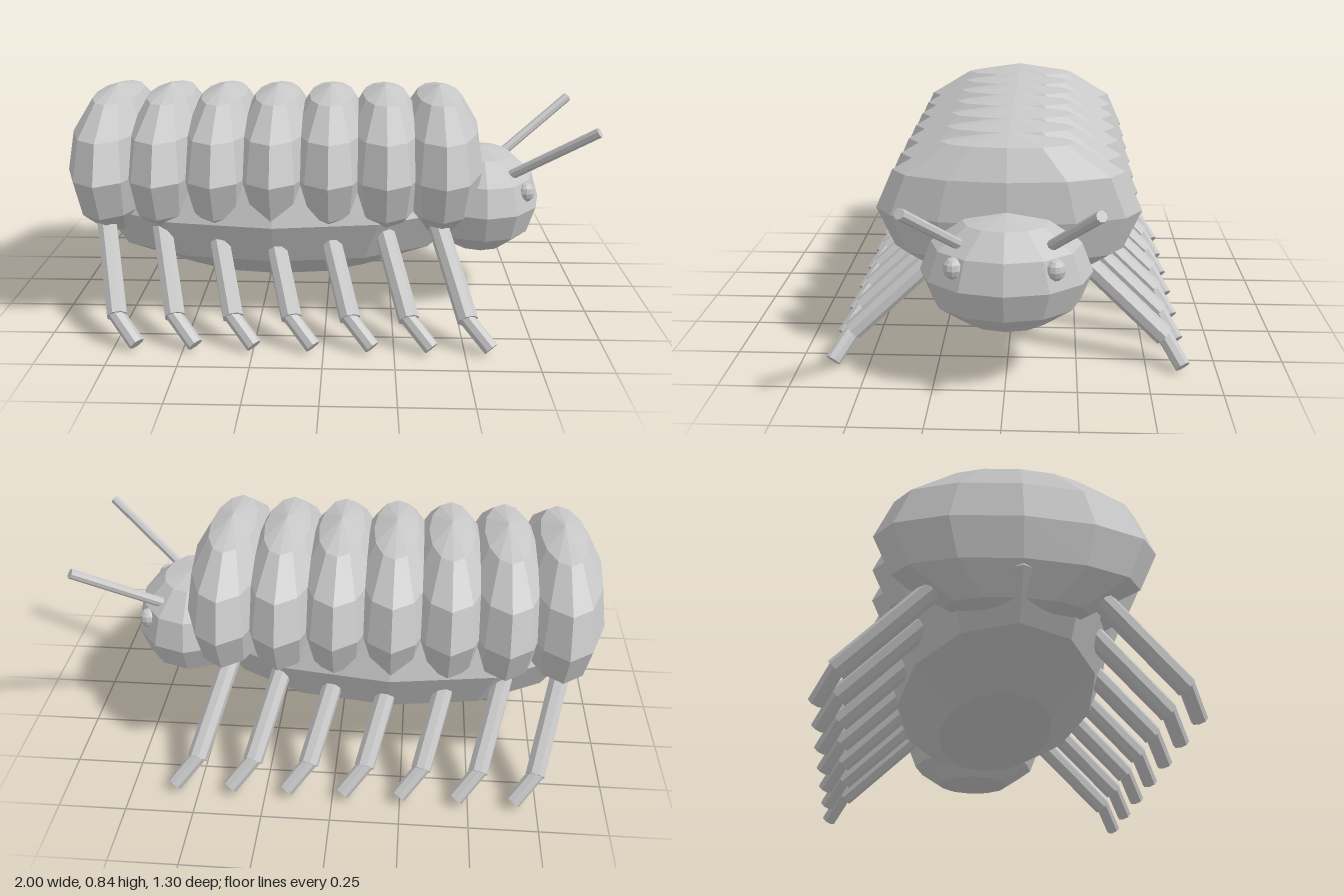
import * as THREE from 'three';

const shell = new THREE.MeshStandardMaterial({ color: 0xc6c6c6, flatShading: true });
shell.name = 'shell grey';

// Faceted ellipsoid with its poles along y
function ellipsoid(name, center, radii) {
  const geometry = new THREE.SphereGeometry(1, 12, 6);
  geometry.scale(...radii);
  const mesh = new THREE.Mesh(geometry, shell);
  mesh.position.set(...center);
  mesh.name = name;
  return mesh;
}

// Straight eight-sided rod between two points
function rod(name, from, to, radius) {
  const a = new THREE.Vector3(...from);
  const b = new THREE.Vector3(...to);
  const dir = b.clone().sub(a);
  const mesh = new THREE.Mesh(new THREE.CylinderGeometry(radius, radius, dir.length(), 8), shell);
  mesh.position.copy(a).add(b).multiplyScalar(0.5);
  mesh.quaternion.setFromUnitVectors(new THREE.Vector3(0, 1, 0), dir.normalize());
  mesh.name = name;
  return mesh;
}

export function createModel() {
  const bug = new THREE.Group();
  bug.name = 'bug';

  // Belly and head
  bug.add(ellipsoid('belly', [-0.195, 0.39, 0], [0.78, 0.3, 0.42]));
  bug.add(ellipsoid('head', [0.6, 0.392, 0], [0.235, 0.208, 0.3]));

  // Seven overlapping back plates, each with a pair of legs
  for (let i = 0; i < 7; i++) {
    const x = -0.826 + i * 0.2092;
    bug.add(ellipsoid('backPlate', [x, 0.556, 0], [0.174, 0.286, 0.475]));
    for (const s of [1, -1]) {
      const leg = new THREE.Group();
      leg.name = s > 0 ? 'frontSideLeg' : 'rearSideLeg';
      const knee = [x + 0.083, 0.105, s * 0.568];
      leg.add(rod('upperLeg', [x - 0.01, 0.36, s * 0.275], knee, 0.038));
      leg.add(rod('foot', [x + 0.075, 0.115, s * 0.562], [x + 0.162, 0.025, s * 0.628], 0.029));
      bug.add(leg);
    }
  }

  // Eyes and antennae
  for (const s of [1, -1]) {
    bug.add(ellipsoid('eye', [0.757, 0.46, s * 0.168], [0.036, 0.038, 0.036]));
    bug.add(rod('antenna', [0.69, 0.515, s * 0.148], [0.988, 0.73, s * 0.302], 0.019));
  }
  return bug;
}
